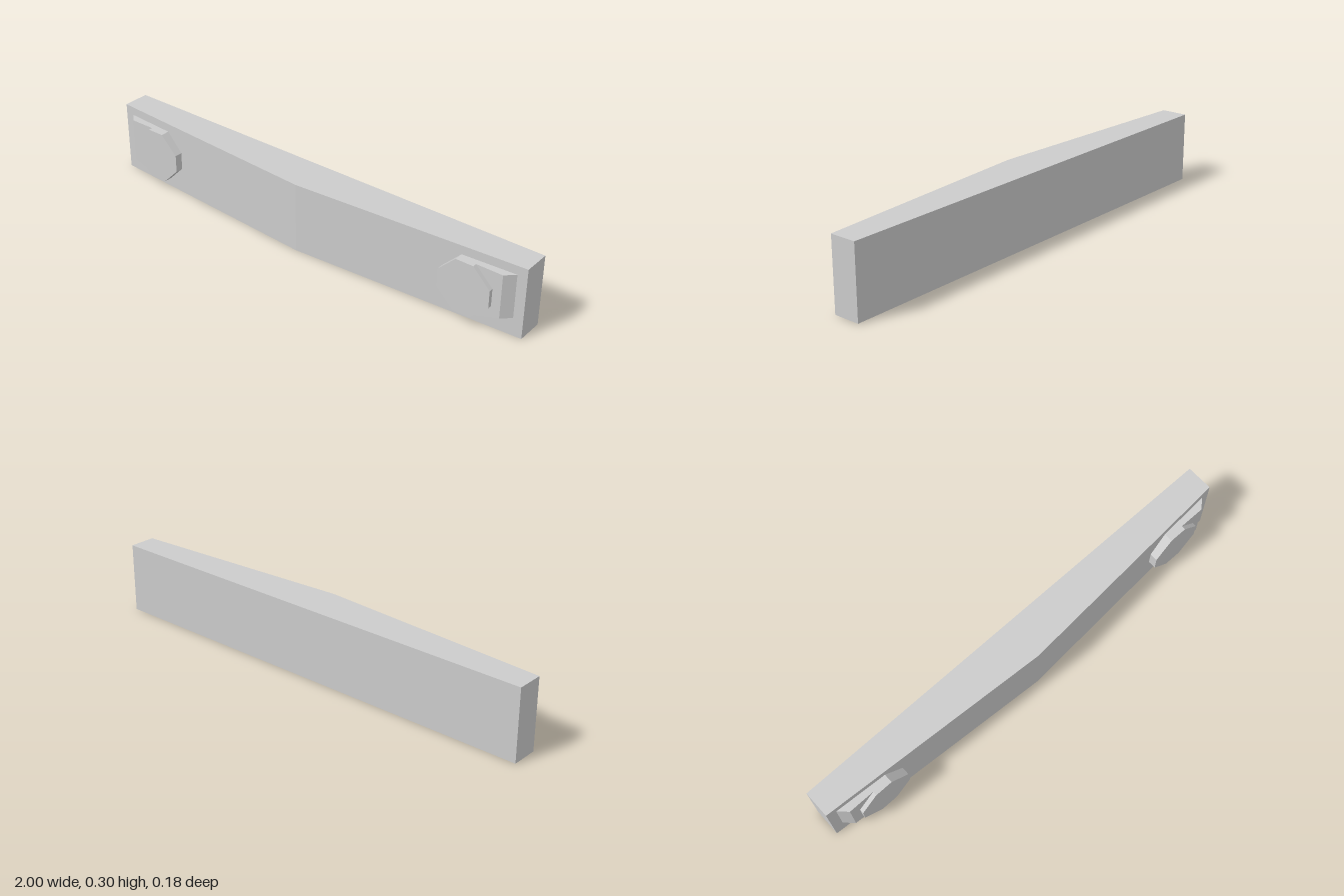
import * as THREE from 'three';
import { ConvexGeometry } from 'three/addons/geometries/ConvexGeometry.js';

const material = new THREE.MeshStandardMaterial({ color: 0xcccccc, flatShading: true });
const HEIGHT = 0.302;
const BACK = -0.09;
const END = 0.024; // front surface at the ends
const MIDDLE = 0.09; // front surface at the centre

const surfaceZ = (x) => MIDDLE + (END - MIDDLE) * Math.abs(x);

function part(name, geometry) {
  const mesh = new THREE.Mesh(geometry, material);
  mesh.name = name;
  return mesh;
}

// Flat-backed bar whose front comes to a shallow vertical ridge
function makeBar() {
  const plan = new THREE.Shape([[-1, BACK], [1, BACK], [1, END], [0, MIDDLE], [-1, END]]
    .map(([x, z]) => new THREE.Vector2(x, -z)));
  const geometry = new THREE.ExtrudeGeometry(plan, { depth: HEIGHT, bevelEnabled: false });
  geometry.rotateX(-Math.PI / 2);
  return part('bumperBar', geometry);
}

// Eight-sided lamp with its corners cut at thirds
function makeLamp(side) {
  const r = 0.1125, c = r / 3;
  const outline = new THREE.Shape([[r, -c], [r, c], [c, r], [-c, r], [-r, c], [-r, -c], [-c, -r], [c, -r]]
    .map(([x, y]) => new THREE.Vector2(x, y)));
  const geometry = new THREE.ExtrudeGeometry(outline, { depth: 0.05, bevelEnabled: false });
  geometry.translate(side * 0.773, 0.1525, 0.03);
  return part('lamp', geometry);
}

// Tapered housing beside the lamp, with sloped outer end and underside
function makeHousing(side) {
  const inner = 0.81, outerFront = 0.923, outerBack = 0.96, front = 0.062;
  const top = 0.265, bottomOuter = 0.077, bottomInner = 0.04;
  const corners = [];
  for (const [x, z, bottom] of [
    [inner, front, bottomInner], [inner, surfaceZ(inner), bottomInner],
    [outerFront, front, bottomOuter], [outerBack, surfaceZ(outerBack), bottomOuter],
  ]) {
    for (const y of [bottom, top]) corners.push(new THREE.Vector3(side * x, y, z));
  }
  return part('lampHousing', new ConvexGeometry(corners));
}

export function createModel() {
  const model = new THREE.Group();
  model.name = 'bumper';
  model.add(makeBar());
  for (const side of [1, -1]) {
    const unit = new THREE.Group();
    unit.name = side > 0 ? 'leftLampUnit' : 'rightLampUnit';
    unit.add(makeLamp(side), makeHousing(side));
    model.add(unit);
  }
  return model;
}
